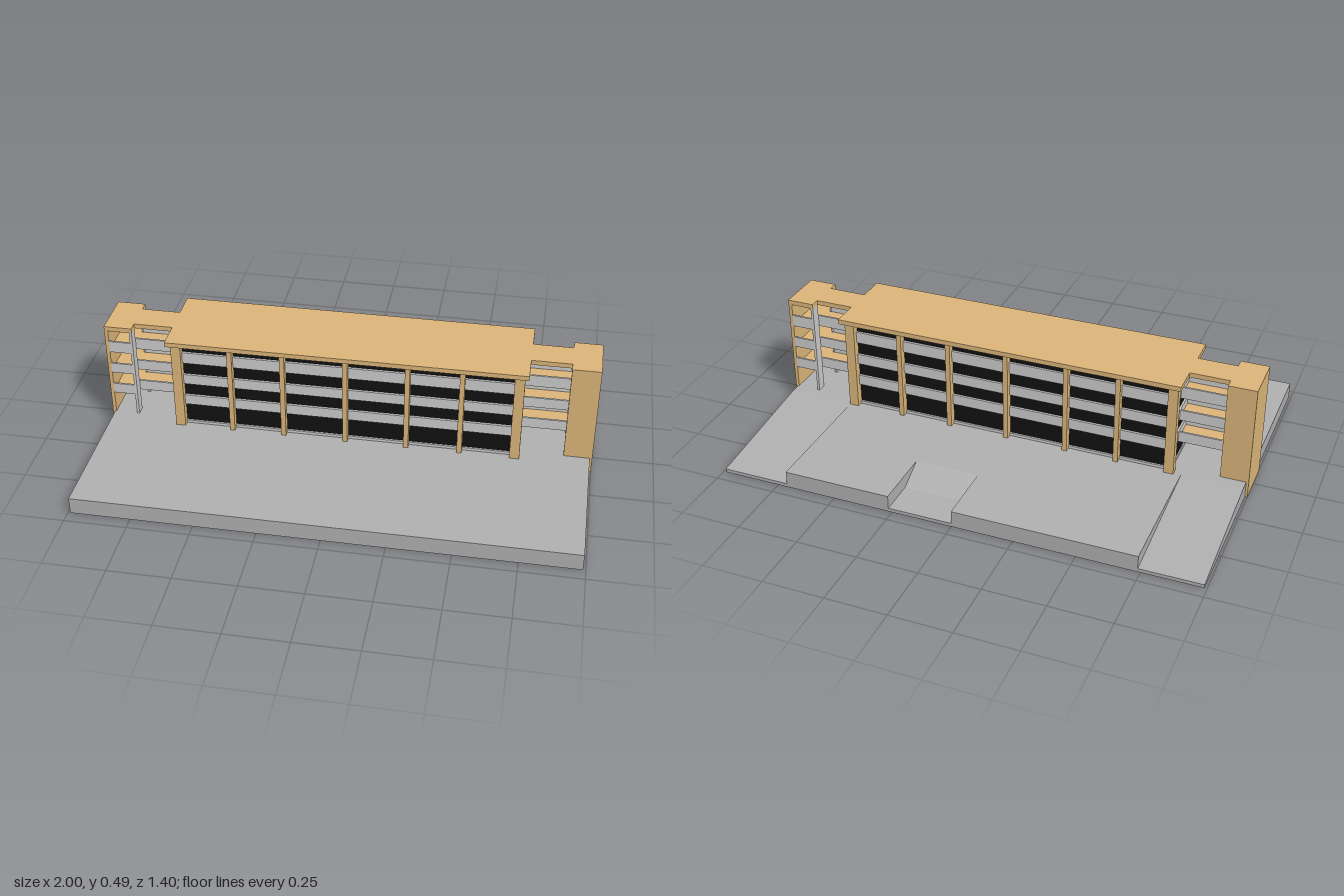
import * as THREE from 'three';

const mat = (color) => new THREE.MeshStandardMaterial({ color });
const grey = mat(0xcccccc);
const paving = mat(0xb0b0b0);
const tan = mat(0xdcb67a);
const glass = mat(0x111111);

const GROUND = 0.07, EAVES = 0.465, TOP = 0.485;
// bottom and top of the parapet band on each upper storey
const BANDS = [[0.165, 0.21], [0.265, 0.31], [0.365, 0.415]];

// box given by its limits on each axis
function block(parent, name, material, [x0, x1], [y0, y1], [z0, z1]) {
  const mesh = new THREE.Mesh(new THREE.BoxGeometry(x1 - x0, y1 - y0, z1 - z0), material);
  mesh.position.set((x0 + x1) / 2, (y0 + y1) / 2, (z0 + z1) / 2);
  mesh.name = name;
  parent.add(mesh);
  return mesh;
}

// strip of terrain: a (z, y) profile extruded from x0 to x1
function strip(parent, name, x0, x1, profile) {
  const shape = new THREE.Shape(profile.map(([z, y]) => new THREE.Vector2(-z, y)));
  const geo = new THREE.ExtrudeGeometry(shape, { depth: x1 - x0, bevelEnabled: false });
  geo.rotateY(Math.PI / 2);
  const mesh = new THREE.Mesh(geo, paving);
  mesh.position.x = x0;
  mesh.name = name;
  parent.add(mesh);
}

function createTerrain() {
  const g = new THREE.Group();
  g.name = 'terrain';
  const flat = [[0.7, 0], [-0.7, 0], [-0.7, GROUND], [0.7, GROUND]];
  const slope = [[0.7, 0], [-0.7, 0], [-0.7, 0.015], [-0.14, GROUND], [0.7, GROUND]];
  const ramp = [[0.7, 0], [-0.7, 0], [-0.7, 0.015], [-0.55, 0.015], [-0.44, GROUND], [0.7, GROUND]];
  strip(g, 'rightSlope', -0.99, -0.74, slope);
  strip(g, 'rightTerrace', -0.74, 0, flat);
  strip(g, 'sunkenEntrance', 0, 0.265, ramp);
  strip(g, 'leftTerrace', 0.265, 0.71, flat);
  strip(g, 'leftSlope', 0.71, 0.99, slope);
  return g;
}

function createMainBlock() {
  const g = new THREE.Group();
  g.name = 'mainBlock';
  block(g, 'windows', glass, [-0.69, 0.69], [GROUND, EAVES], [-0.122, 0.122]);
  block(g, 'plinth', grey, [-0.695, 0.695], [GROUND, 0.082], [-0.13, 0.13]);
  for (const band of BANDS) {
    block(g, 'parapetBand', grey, [-0.698, 0.698], band, [-0.132, 0.132]);
  }
  block(g, 'roof', tan, [-0.725, 0.725], [EAVES, TOP], [-0.177, 0.177]);
  // columns on both long sides, wider at the corners
  const columns = [[-0.69, 0.04], [-0.47, 0.02], [-0.255, 0.02], [0, 0.02], [0.25, 0.02], [0.467, 0.02], [0.69, 0.04]];
  for (const s of [-1, 1]) {
    for (const [x, w] of columns) {
      const z = [0.12, 0.153].map((v) => v * s).sort((a, b) => a - b);
      block(g, 'column', tan, [x - w / 2, x + w / 2], [GROUND, EAVES], z);
    }
  }
  return g;
}

// stair tower, closed at the front and outer side, with its linking galleries
function createWing(name) {
  const g = new THREE.Group();
  g.name = name;
  block(g, 'outerWall', tan, [0.985, 1], [0, TOP], [-0.1, 0.1]);
  block(g, 'closedWall', tan, [0.885, 0.985], [0, EAVES], [0.09, 0.1]);
  block(g, 'wallLining', grey, [0.895, 0.985], [GROUND, EAVES], [0.085, 0.09]);
  block(g, 'closedFin', grey, [0.885, 0.896], [GROUND, EAVES], [0.06, 0.09]);
  block(g, 'openFin', grey, [0.885, 0.896], [GROUND, EAVES], [-0.1, -0.06]);
  block(g, 'towerRoof', tan, [0.885, 0.985], [EAVES, TOP], [-0.1, 0.1]);
  block(g, 'galleryRoof', tan, [0.725, 0.885], [EAVES, TOP], [-0.06, 0.06]);
  for (const [y0, y1] of BANDS) {
    block(g, 'galleryFloor', tan, [0.69, 0.895], [y0, y0 + 0.012], [-0.052, 0.052]);
    block(g, 'towerFloor', tan, [0.895, 0.985], [y0, y0 + 0.012], [-0.092, 0.085]);
    block(g, 'towerParapet', grey, [0.896, 0.985], [y0, y1], [-0.1, -0.092]);
    block(g, 'galleryParapet', grey, [0.69, 0.886], [y0, y1], [0.052, 0.06]);
    block(g, 'galleryParapet', grey, [0.69, 0.886], [y0, y1], [-0.06, -0.052]);
  }
  return g;
}

export function createModel() {
  const model = new THREE.Group();
  model.name = 'apartmentBuilding';
  const leftWing = createWing('leftWing');
  const rightWing = createWing('rightWing');
  rightWing.rotation.y = Math.PI;
  model.add(createTerrain(), createMainBlock(), leftWing, rightWing);
  return model;
}
